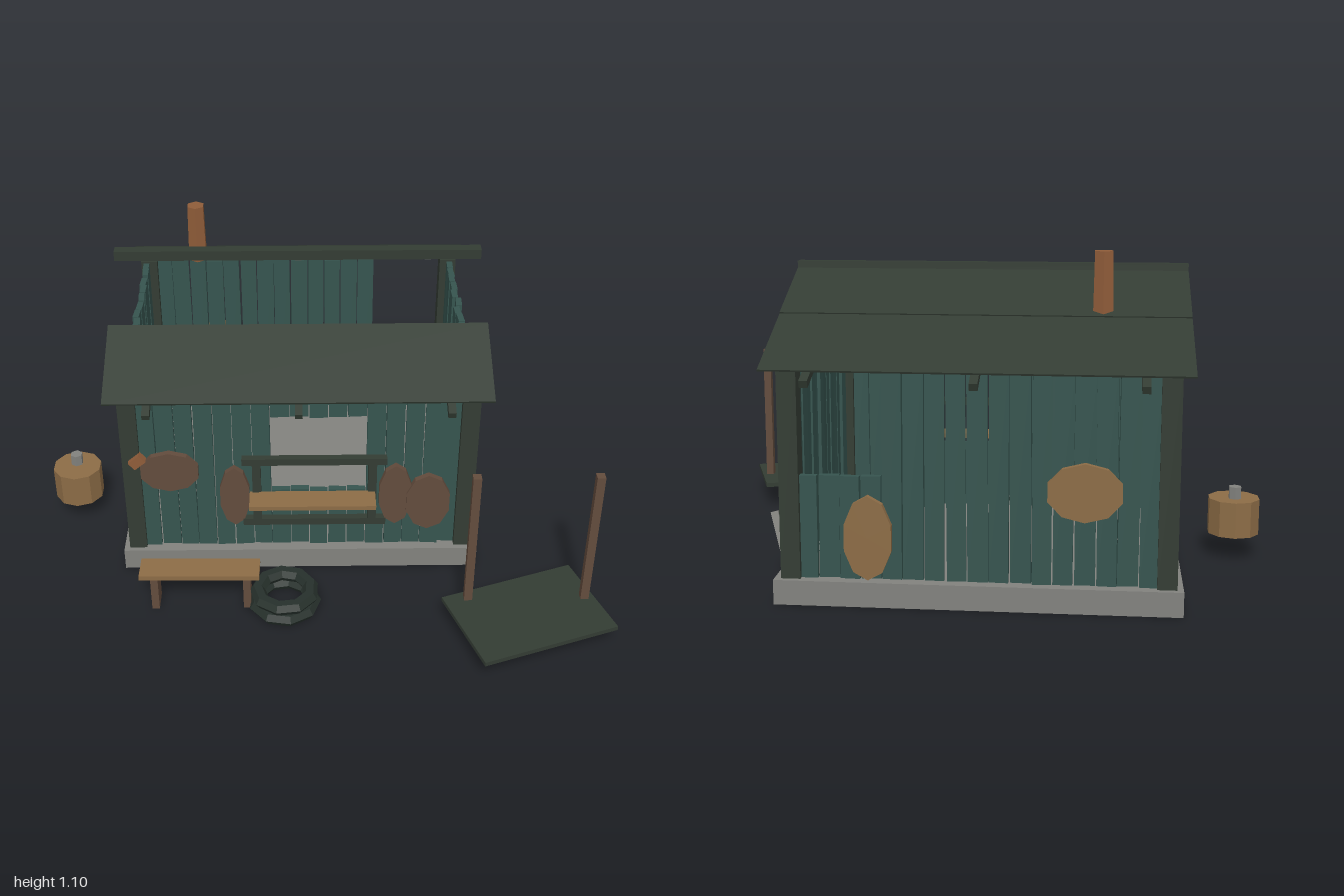
import * as THREE from 'three';

const mat = (name, color) => {
  const m = new THREE.MeshStandardMaterial({ color });
  m.name = name;
  m.flatShading = true;
  return m;
};

export function createModel() {
  const teal = mat('teal planks', 0x36544f);
  const dark = mat('dark green timber', 0x333c33);
  const rubber = mat('rubber', 0x26302b);
  const stone = mat('stone', 0x82827e);
  const tan = mat('pale wood', 0x8c6c46);
  const brown = mat('brown wood', 0x634c3d);
  const rust = mat('rusty clay', 0x8f5c39);

  const model = new THREE.Group();
  model.name = 'shack';
  let seed = 7;
  const rnd = () => (seed = (seed * 16807) % 2147483647) / 2147483647;

  const add = (name, geo, m, x, y, z, parent = model) => {
    const mesh = new THREE.Mesh(geo, m);
    mesh.name = name;
    mesh.position.set(x, y, z);
    parent.add(mesh);
    return mesh;
  };
  const box = (name, m, w, h, d, x, y, z, parent) =>
    add(name, new THREE.BoxGeometry(w, h, d), m, x, y, z, parent);
  // square beam or sheet spanning two points in the y-z plane
  const slope = (name, m, w, t, x, z1, y1, z2, y2) => {
    const b = box(name, m, w, t, Math.hypot(z2 - z1, y2 - y1), x, (y1 + y2) / 2, (z1 + z2) / 2);
    b.rotation.x = Math.atan2(y1 - y2, z2 - z1);
    return b;
  };

  // foundation and corner posts
  box('foundation', stone, 1.275, 0.08, 1.01, -0.068, 0.04, -0.255);
  for (const x of [-0.655, 0.517])
    for (const z of [0.2, -0.71]) box('cornerPost', dark, 0.062, 0.69, 0.062, x, 0.425, z);

  // plank walls; openings are [from, to, bottom, top] along the wall
  const wall = (name, span, count, x, z, turn, opening) => {
    const g = new THREE.Group();
    g.name = name;
    g.position.set(x, 0, z);
    g.rotation.y = turn;
    model.add(g);
    const pitch = span / count;
    for (let i = 0; i < count; i++) {
      const px = -span / 2 + (i + 0.5) * pitch;
      const top = 0.76 + rnd() * 0.012;
      const off = (rnd() - 0.5) * 0.012;
      const lean = (rnd() - 0.5) * 0.01;
      const w = pitch * (0.9 + rnd() * 0.09);
      const cut = opening && px > opening[0] && px < opening[1];
      const pieces = cut ? [[0.08, opening[2]], [opening[3], top]] : [[0.08, top]];
      for (const [a, b] of pieces) {
        if (b - a < 0.05) continue;
        const p = box('plank', teal, w, b - a, 0.022, px, (a + b) / 2, off, g);
        p.rotation.z = lean;
        p.rotation.y = (rnd() - 0.5) * 0.16;
      }
    }
  };
  wall('frontWall', 1.13, 17, -0.069, 0.2, 0, [-0.11, 0.23, 0.32, 0.63]);
  wall('backWall', 1.13, 17, -0.069, -0.71, 0, [0.28, 0.6, 0.41, 0.8]);
  wall('rightWall', 0.86, 14, -0.66, -0.255, Math.PI / 2);
  wall('leftWall', 0.86, 14, 0.52, -0.255, Math.PI / 2);

  // door on the side wall
  box('door', brown, 0.02, 0.56, 0.28, -0.684, 0.365, -0.34);

  // roof sheets, ridge beam and rafter ends
  slope('frontRoof', dark, 1.3, 0.008, -0.07, 0.32, 0.757, 0.03, 0.89);
  slope('upperBackRoof', dark, 1.3, 0.006, -0.07, -0.27, 1.013, -0.54, 0.893);
  slope('lowerBackRoof', dark, 1.3, 0.006, -0.07, -0.51, 0.902, -0.835, 0.757);
  box('ridgeBeam', dark, 1.3, 0.036, 0.04, -0.07, 1.019, -0.255);
  for (const x of [-0.575, -0.07, 0.437]) {
    slope('frontRafter', dark, 0.026, 0.024, x, 0.343, 0.72, 0.17, 0.785);
    slope('backRafter', dark, 0.026, 0.024, x, -0.853, 0.72, -0.68, 0.785);
  }
  add('chimney', new THREE.CylinderGeometry(0.033, 0.037, 0.215, 6), rust, -0.445, 0.9875, -0.495);

  // window rail frame with shelf
  for (const y of [0.468, 0.208]) box('windowRail', dark, 0.505, 0.026, 0.026, -0.018, y, 0.238);
  for (const x of [-0.22, 0.185]) box('windowStile', dark, 0.03, 0.27, 0.024, x, 0.338, 0.238);
  box('windowShelf', tan, 0.44, 0.016, 0.09, -0.025, 0.332, 0.29);

  // patch boards nailed to the walls
  const patch = (m, rx, ry, x, y, z, turn = 0, tilt = 0) => {
    const geo = new THREE.CylinderGeometry(1, 1, 0.022, 10);
    geo.rotateX(Math.PI / 2);
    geo.scale(rx, ry, 1);
    geo.rotateZ(tilt);
    add('wallPatch', geo, m, x, y, z).rotation.y = turn;
  };
  patch(brown, 0.105, 0.08, -0.522, 0.425, 0.236);
  patch(brown, 0.054, 0.124, -0.298, 0.318, 0.236);
  patch(brown, 0.06, 0.126, 0.267, 0.32, 0.236);
  patch(brown, 0.08, 0.116, 0.382, 0.294, 0.246);
  patch(tan, 0.142, 0.062, 0.545, 0.293, -0.15, Math.PI / 2, 0.04);
  patch(tan, 0.078, 0.135, 0.27, 0.22, -0.74);
  patch(tan, 0.12, 0.092, -0.4, 0.38, -0.74);
  box('patchPeg', rust, 0.05, 0.035, 0.03, -0.632, 0.47, 0.236).rotation.z = 0.7;

  // loose board and stone bar leaning at the side
  const board = new THREE.Shape();
  [[0.342, 0.3], [0.375, 0.15], [0.635, 0.155], [0.56, 0.365]].forEach(([x, y], i) =>
    i ? board.lineTo(x, y - 0.25) : board.moveTo(x, y - 0.25));
  const boardGeo = new THREE.ExtrudeGeometry(board, { depth: 0.014, bevelEnabled: false });
  boardGeo.rotateY(Math.PI / 2);
  add('leaningBoard', boardGeo, brown, 0.552, 0.25, 0).rotation.z = -0.13;
  const a = new THREE.Vector3(0.567, 0.068, -0.565), b = new THREE.Vector3(0.617, 0.235, -0.525);
  const bar = box('leaningBar', stone, 0.025, a.distanceTo(b), 0.025, 0.592, 0.152, -0.545);
  bar.quaternion.setFromUnitVectors(new THREE.Vector3(0, 1, 0), b.sub(a).normalize());

  // chopping stump
  add('stump', new THREE.CylinderGeometry(0.09, 0.09, 0.125, 10), tan, -0.91, 0.147, -0.1);
  add('stumpStone', new THREE.CylinderGeometry(0.023, 0.023, 0.042, 6), stone, -0.912, 0.231, -0.115);

  // bench
  box('benchSeat', tan, 0.415, 0.018, 0.096, -0.418, 0.146, 0.434).rotation.y = -0.015;
  for (const x of [-0.575, -0.255]) box('benchLeg', brown, 0.026, 0.13, 0.08, x, 0.072, 0.438);

  // stacked tyres
  [[0.1, 0.024], [0.094, 0.067]].forEach(([r, y], i) => {
    const geo = new THREE.TorusGeometry(r, 0.028, 6, 9);
    geo.rotateX(Math.PI / 2);
    geo.scale(1, 0.9, 1);
    add('tyre', geo, rubber, -0.125, y, 0.457).rotation.y = i * 0.3;
  });

  // ground platform with two poles
  box('platform', dark, 0.493, 0.016, 0.337, 0.705, 0.086, 0.607).rotation.y = 0.341;
  for (const x of [0.505, 0.905]) box('pole', brown, 0.028, 0.53, 0.028, x, 0.345, 0.533);

  return model;
}
